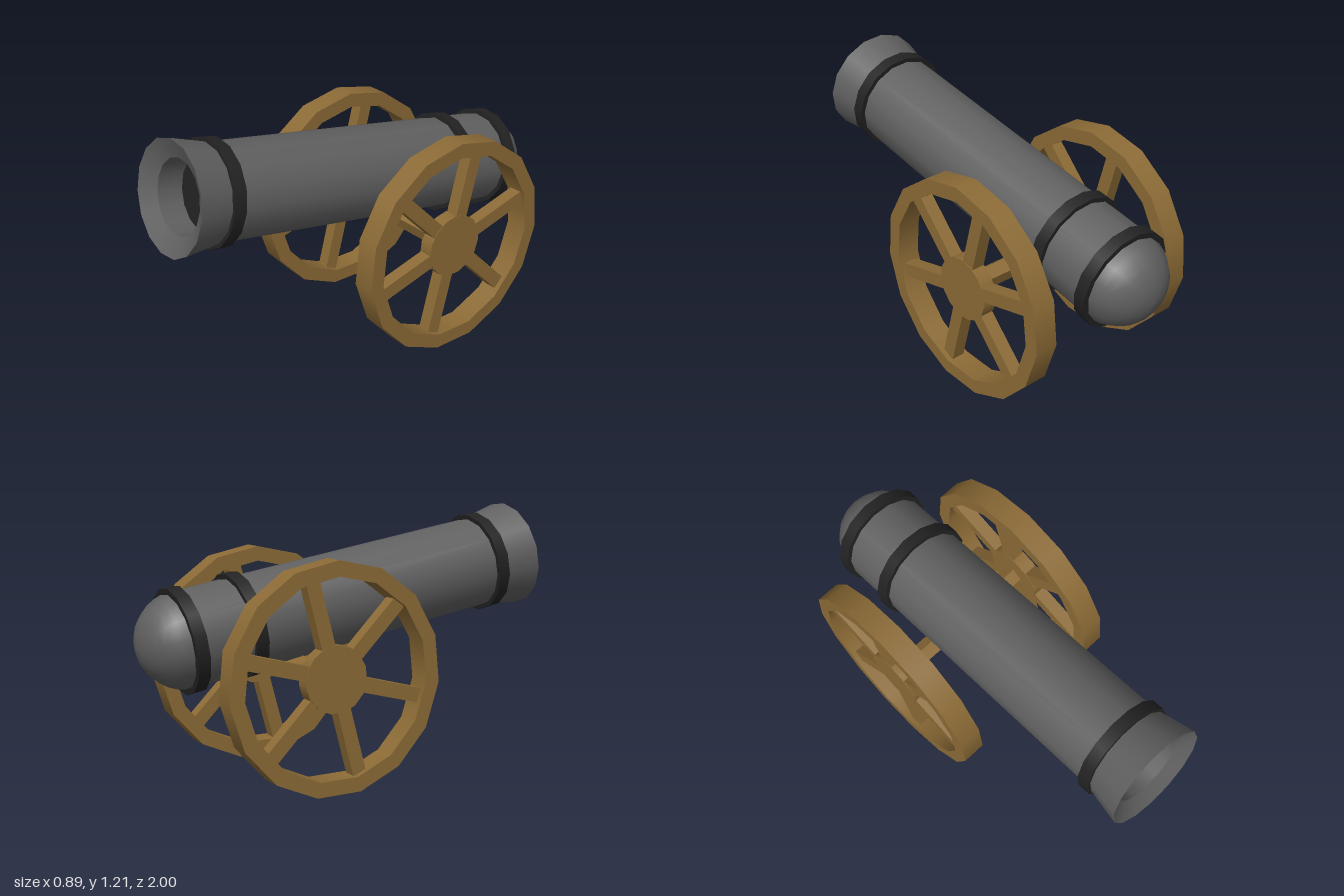
import * as THREE from 'three';
import { mergeGeometries } from 'three/addons/utils/BufferGeometryUtils.js';

const SIDES = 15;
const material = (name, color) => {
  const m = new THREE.MeshStandardMaterial({ color });
  m.name = name;
  return m;
};

// Lathe with a sharp edge at every profile point, smooth around the axis
function turned(profile, start) {
  const bands = [];
  for (let i = 0; i < profile.length - 1; i++) {
    const pair = [profile[i], profile[i + 1]].map(([r, y]) => new THREE.Vector2(r, y));
    bands.push(new THREE.LatheGeometry(pair, SIDES, start));
  }
  return mergeGeometries(bands);
}

function add(parent, name, geometry, mat) {
  const mesh = new THREE.Mesh(geometry, mat);
  mesh.name = name;
  parent.add(mesh);
  return mesh;
}

export function createModel() {
  const iron = material('grey iron', 0x606060);
  const black = material('black iron', 0x222222);
  const wood = material('brown wood', 0x8c6b36);
  const model = new THREE.Group();
  model.name = 'cannon';

  // Barrel: local y runs from the breech to the muzzle
  const barrel = new THREE.Group();
  barrel.name = 'barrel';
  barrel.position.set(0, 0.66, -0.783);
  barrel.rotation.x = Math.PI / 2 - 0.169;
  model.add(barrel);

  const R = 0.218, length = 1.765, start = Math.PI / 2;
  add(barrel, 'tube', turned([[R, 0], [R, 1.57]], start), iron);
  add(barrel, 'flaredMuzzle', turned([
    [R, 1.57], [0.254, length], [0.167, length - 0.045], [0.167, length - 0.165],
  ], start), iron);
  add(barrel, 'boreEnd', turned([[0.167, length - 0.165], [0, length - 0.165]], start), black);

  // Rounded breech
  const arc = [];
  for (let i = 0; i <= 8; i++) {
    const a = (i / 8) * Math.PI / 2;
    arc.push(new THREE.Vector2(R * Math.sin(a), -R * Math.cos(a)));
  }
  add(barrel, 'breechDome', new THREE.LatheGeometry(arc, SIDES, start), iron);

  // Reinforcing bands
  for (const y of [-0.015, 0.263, 1.57]) {
    const band = turned([[0.2, -0.029], [0.24, -0.029], [0.24, 0.029], [0.2, 0.029]], start);
    add(barrel, 'band', band, black).position.y = y;
  }

  // Carriage: everything is centred on the axle
  const carriage = new THREE.Group();
  carriage.name = 'carriage';
  carriage.position.set(0, 0.503, -0.263);
  model.add(carriage);

  const axleGeometry = new THREE.CylinderGeometry(0.052, 0.052, 0.78, 5, 1, false, -Math.PI / 2).toNonIndexed();
  axleGeometry.computeVertexNormals();
  const axle = add(carriage, 'axle', axleGeometry, wood);
  axle.rotation.z = -Math.PI / 2;
  axle.position.y = 0.005;

  // Wheels: rim, hub and three bars forming six spokes
  const w = 0.055, h = 0.034;
  const rimGeometry = turned([[0.445, -w], [0.514, -w], [0.514, w], [0.445, w], [0.445, -w]], -Math.PI / 2);
  const hubGeometry = turned([[0, -h], [0.15, -h], [0.15, h], [0, h]], -Math.PI / 2);
  const spokeGeometry = new THREE.BoxGeometry(0.062, 0.92, 0.066);
  for (const side of [1, -1]) {
    const wheel = new THREE.Group();
    wheel.name = side > 0 ? 'leftWheel' : 'rightWheel';
    wheel.position.x = side * 0.39;
    carriage.add(wheel);
    add(wheel, 'rim', rimGeometry, wood).rotation.z = -Math.PI / 2;
    add(wheel, 'hub', hubGeometry, wood).rotation.z = -Math.PI / 2;
    for (const degrees of [15, 75, 135]) {
      add(wheel, 'spokePair', spokeGeometry, wood).rotation.x = THREE.MathUtils.degToRad(degrees - 90);
    }
  }
  return model;
}
